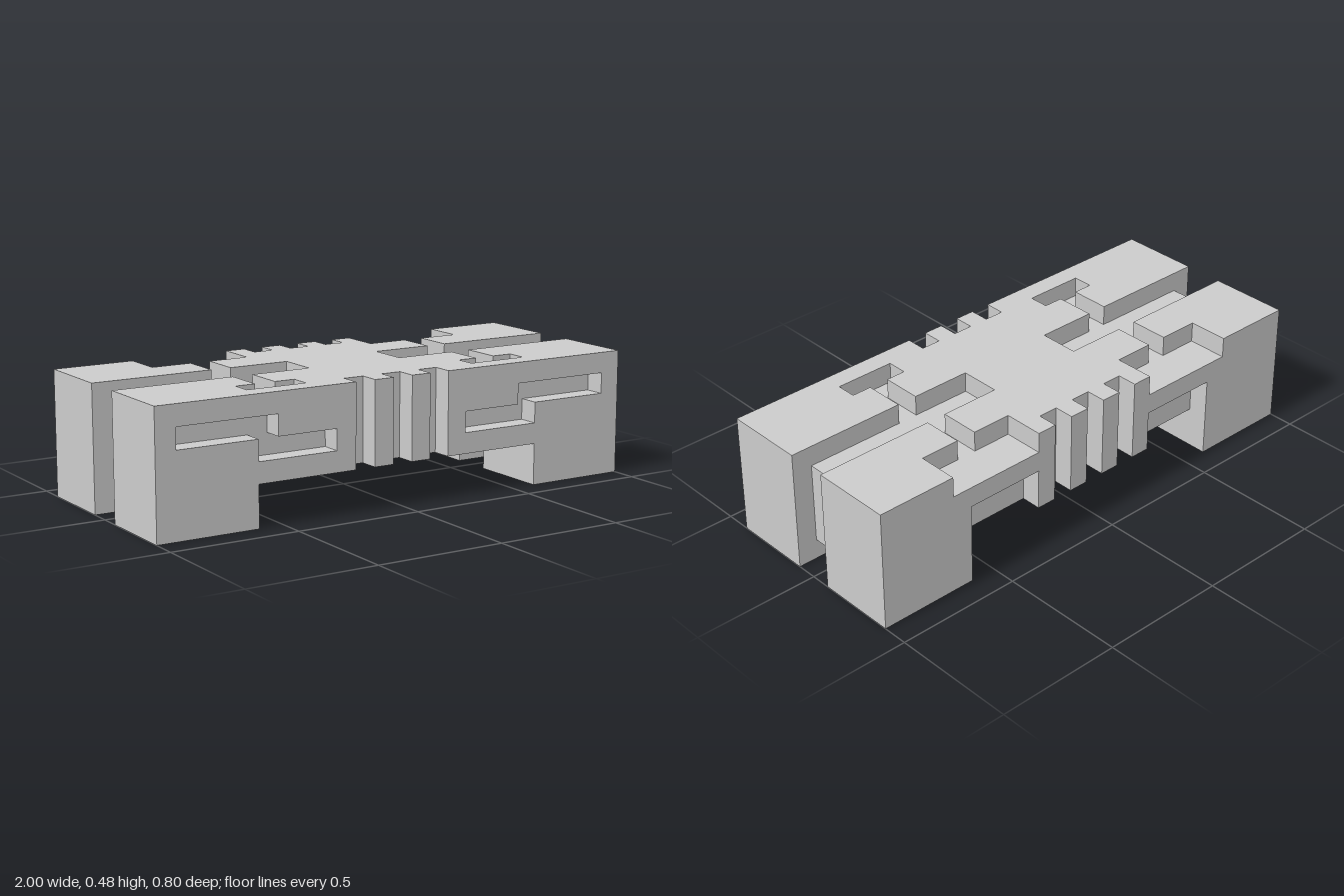
import * as THREE from 'three';

const material = new THREE.MeshStandardMaterial({ color: 0xcccccc, flatShading: true });

const flip = pts => pts.map(([x, y]) => [-x, y]).reverse();
// Closes a right-half outline (starting and ending on x = 0) with its mirror image.
const whole = half => [...half, ...flip(half).slice(1, -1)];
const toVectors = pts => pts.map(([x, y]) => new THREE.Vector2(x, y));

export function createModel() {
  const model = new THREE.Group();

  function add(name, geometry) {
    const mesh = new THREE.Mesh(geometry, material);
    mesh.name = name;
    model.add(mesh);
  }

  function extrude(pts, depth, hole) {
    const shape = new THREE.Shape(toVectors(pts));
    if (hole) shape.holes.push(new THREE.Path(toVectors(hole)));
    return new THREE.ExtrudeGeometry(shape, { depth, bevelEnabled: false });
  }

  // Upright slice: outline in x/y, running from z0 to z1
  const slice = (name, pts, z0, z1, hole) =>
    add(name, extrude(pts, z1 - z0, hole).translate(0, 0, z0));

  // Flat top panel: outline in x/z, filling y 0.40 to 0.48
  const panel = (name, pts) =>
    add(name, extrude(pts, 0.08).rotateX(Math.PI / 2).translate(0, 0.48, 0));

  // Bridge-shaped core: two rows with feet, and a shorter middle row
  const row = whole([[0, 0.16], [0.6, 0.16], [0.6, 0], [1, 0], [1, 0.4], [0, 0.4]]);
  const middle = whole([[0, 0.16], [0.6, 0.16], [0.6, 0.08], [0.92, 0.08], [0.92, 0.4], [0, 0.4]]);
  slice('frontRow', row, 0.08, 0.32);
  slice('backRow', row, -0.32, -0.08);
  slice('middleRow', middle, -0.08, 0.08);

  // Central deck between the channels
  panel('centreDeck', whole([
    [0, 0.32], [0.36, 0.32], [0.36, 0.24], [0.44, 0.24], [0.44, 0.08], [0.2, 0.08],
    [0.2, -0.08], [0.44, -0.08], [0.44, -0.24], [0.28, -0.24], [0.28, -0.32], [0, -0.32],
  ]));

  // Outlines for the +x half
  const frontDeck = [[0.6, 0.32], [1, 0.32], [1, 0.08], [0.52, 0.08], [0.52, 0.24], [0.6, 0.24]];
  const backDeck = [[1, -0.08], [1, -0.32], [0.68, -0.32], [0.68, -0.24], [0.52, -0.24], [0.52, -0.08]];
  const frontPlate = [[0.2, 0.16], [0.6, 0.16], [0.6, 0], [1, 0], [1, 0.48], [0.2, 0.48]];
  const frontSlot = [
    [0.28, 0.24], [0.6, 0.24], [0.6, 0.32], [0.92, 0.32],
    [0.92, 0.4], [0.52, 0.4], [0.52, 0.32], [0.28, 0.32],
  ];
  const backPlate = [
    [0.2, 0.16], [0.28, 0.16], [0.28, 0.32], [0.6, 0.32], [0.6, 0], [1, 0],
    [1, 0.48], [0.68, 0.48], [0.68, 0.4], [0.28, 0.4], [0.28, 0.48], [0.2, 0.48],
  ];

  for (const [side, m] of [['left', p => p], ['right', flip]]) {
    panel(side + 'FrontDeck', m(frontDeck));
    panel(side + 'BackDeck', m(backDeck));
    // Front skin with a stepped slot, back skin with a top notch and a lower recess
    slice(side + 'FrontPlate', m(frontPlate), 0.32, 0.4, m(frontSlot));
    slice(side + 'BackPlate', m(backPlate), -0.4, -0.32);
    // Vertical ribs at the waist
    const rib = m([[0.04, 0.16], [0.12, 0.16], [0.12, 0.48], [0.04, 0.48]]);
    slice(side + 'FrontRib', rib, 0.32, 0.4);
    slice(side + 'BackRib', rib, -0.4, -0.32);
  }

  return model;
}
